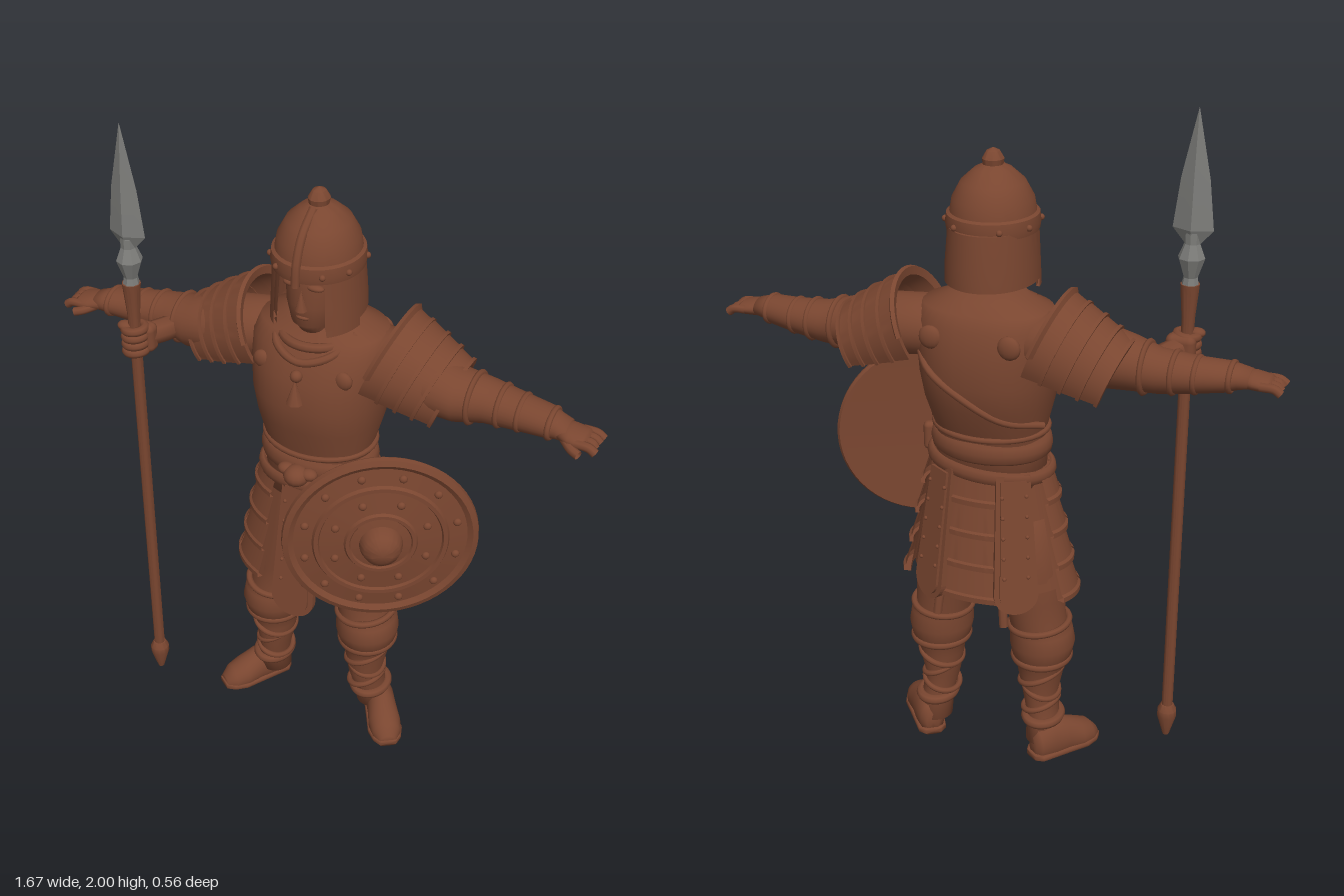
import * as THREE from 'three';
import { toCreasedNormals } from 'three/addons/utils/BufferGeometryUtils.js';
import { RoundedBoxGeometry } from 'three/addons/geometries/RoundedBoxGeometry.js';

const leather = new THREE.MeshStandardMaterial({ color: 0x7a4630, side: THREE.DoubleSide });
leather.name = 'leather brown';
const steel = new THREE.MeshStandardMaterial({ color: 0x7c7c79 });
steel.name = 'steel grey';
const rad = THREE.MathUtils.degToRad;
const V = (x, y, z) => new THREE.Vector3(x, y, z);

// Smooth closed skin through elliptical rings [t, a, b, radiusA, radiusB] along an axis; pow < 1 squares the rings.
function loft(axis, rings, seg = 28, pow = 1) {
  const put = { y: (t, a, b) => [a, t, b], x: (t, a, b) => [t, b, a], z: (t, a, b) => [b, a, t] }[axis];
  const pos = [], idx = [], n = rings.length;
  const sq = v => Math.sign(v) * Math.abs(v) ** pow;
  for (const [t, a, b, ra, rb] of rings) for (let j = 0; j < seg; j++) {
    const q = j / seg * Math.PI * 2;
    pos.push(...put(t, a + ra * sq(Math.cos(q)), b + rb * sq(Math.sin(q))));
  }
  for (let i = 0; i < n - 1; i++) for (let j = 0; j < seg; j++) {
    const p = i * seg + j, r = i * seg + (j + 1) % seg;
    idx.push(p, p + seg, r, r, p + seg, r + seg);
  }
  const [s, e] = [rings[0], rings[n - 1]];
  pos.push(...put(s[0], s[1], s[2]), ...put(e[0], e[1], e[2]));
  for (let j = 0; j < seg; j++) {
    const k = (j + 1) % seg, top = (n - 1) * seg;
    idx.push(n * seg, j, k, n * seg + 1, top + k, top + j);
  }
  const g = new THREE.BufferGeometry();
  g.setAttribute('position', new THREE.Float32BufferAttribute(pos, 3));
  g.setIndex(idx);
  g.computeVertexNormals();
  return g;
}

// Turned profile, optionally only from one angle to another (degrees from the front)
function lathe(points, seg = 32, from = 0, to = 360, crease = 0.6) {
  const g = new THREE.LatheGeometry(points.map(p => new THREE.Vector2(...p)), seg, rad(from), rad(to - from));
  return toCreasedNormals(g, crease);
}

function mirror(geo) {
  const g = geo.clone();
  g.applyMatrix4(new THREE.Matrix4().makeScale(-1, 1, 1));
  const ix = g.index ? Array.from(g.index.array) : Array.from({ length: g.attributes.position.count }, (_, i) => i);
  for (let i = 0; i < ix.length; i += 3) [ix[i], ix[i + 1]] = [ix[i + 1], ix[i]];
  g.setIndex(ix);
  return g;
}

function add(parent, name, geo, mat = leather) {
  const m = new THREE.Mesh(geo, mat);
  m.name = name;
  parent.add(m);
  return m;
}
function pair(parent, name, geo) {
  add(parent, name + 'Left', geo);
  add(parent, name + 'Right', mirror(geo));
}
const ball = (r, x, y, z, sx = 1, sy = 1, sz = 1) => new THREE.SphereGeometry(r, 14, 10).scale(sx, sy, sz).translate(x, y, z);
const tube = (pts, r, seg = 24, closed = false) =>
  new THREE.TubeGeometry(new THREE.CatmullRomCurve3(pts.map(p => V(...p)), closed), seg, r, 8, closed);
// Ring lying flat around a limb or the body
const band = (rx, rz, r, x, y, z, tilt = 0, h = 1) => new THREE.TorusGeometry(1, r / rx, 8, 36)
  .rotateX(Math.PI / 2).scale(rx, rx * h, rz).rotateZ(tilt).translate(x, y, z);

function addHead(root) {
  const head = new THREE.Group(); head.name = 'head'; root.add(head);
  add(head, 'face', loft('y', [[1.44, 0, -0.07, 0.07, 0.07], [1.475, 0, -0.03, 0.045, 0.05], [1.5, 0, -0.025, 0.06, 0.07],
    [1.56, 0, -0.04, 0.08, 0.09], [1.62, 0, -0.045, 0.084, 0.092], [1.7, 0, -0.05, 0.085, 0.09]]));
  add(head, 'nose', new THREE.ConeGeometry(0.018, 0.06, 8).translate(0, 1.585, 0.05));
  add(head, 'mouth', ball(0.02, 0, 1.528, 0.04, 1.1, 0.35, 0.6));
  pair(head, 'brow', ball(0.024, 0.035, 1.625, 0.036, 1.1, 0.4, 0.6));
  add(head, 'helmetDome', lathe([[0.115, 1.655], [0.127, 1.655], [0.13, 1.675], [0.127, 1.7], [0.118, 1.705], [0.112, 1.74], [0.088, 1.785],
    [0.052, 1.818], [0.028, 1.83], [0.03, 1.845], [0.018, 1.866], [0, 1.875]], 40).scale(1, 1, 1.07).translate(0, 0, -0.055));
  add(head, 'neckGuard', lathe([[0.129, 1.515], [0.127, 1.57], [0.119, 1.67], [0.108, 1.67], [0.116, 1.57], [0.119, 1.515], [0.129, 1.515]], 40, 38, 322)
    .scale(1, 1, 1.2).translate(0, 0, -0.06));
  pair(head, 'cheekPlate', lathe([[0.132, 1.495], [0.124, 1.66], [0.114, 1.66], [0.122, 1.495], [0.132, 1.495]], 12, 38, 85)
    .scale(1, 1, 1.1).translate(0, 0, -0.055));
  add(head, 'crest', tube([[0, 1.645, 0.085], [0, 1.71, 0.077], [0, 1.775, 0.045], [0, 1.825, -0.02]], 0.013));
  for (const a of [-65, -32, 32, 65, 110, 150, 210, 250])
    add(head, 'helmetRivet', ball(0.009, 0.13 * Math.sin(rad(a)), 1.678, -0.055 + 0.139 * Math.cos(rad(a))));
}

function addTorso(root) {
  const torso = new THREE.Group(); torso.name = 'torso'; root.add(torso);
  add(torso, 'cuirass', loft('y', [[0.9, 0, -0.07, 0.17, 0.12], [1.03, 0, -0.067, 0.157, 0.118], [1.09, 0, -0.072, 0.165, 0.135],
    [1.17, 0, -0.078, 0.185, 0.163], [1.25, 0, -0.08, 0.197, 0.178], [1.34, 0, -0.085, 0.203, 0.172], [1.41, 0, -0.092, 0.205, 0.15],
    [1.45, 0, -0.095, 0.185, 0.125], [1.475, 0, -0.09, 0.12, 0.09], [1.5, 0, -0.08, 0.08, 0.075]], 40, 0.88));
  add(torso, 'collar', band(0.1, 0.1, 0.014, 0, 1.44, -0.05).rotateX(0));
  add(torso, 'neckline', tube([[-0.12, 1.46, -0.04], [-0.08, 1.42, 0.04], [0, 1.4, 0.072], [0.08, 1.42, 0.04], [0.12, 1.46, -0.04]], 0.012));
  pair(torso, 'chestStud', ball(0.028, 0.125, 1.36, 0.045, 1, 1, 0.6));
  pair(torso, 'backStud', ball(0.034, 0.115, 1.38, -0.232, 1, 1, 0.5));
  add(torso, 'pendant', new THREE.ConeGeometry(0.026, 0.075, 8).translate(0, 1.315, 0.09));
  add(torso, 'pendantLoop', ball(0.018, 0, 1.36, 0.082));
  add(torso, 'backStrap', tube([[-0.18, 1.12, -0.13], [-0.09, 1.15, -0.215], [0.02, 1.22, -0.252], [0.12, 1.28, -0.235], [0.19, 1.33, -0.15]], 0.011));
  // Belt, sash and knot
  add(torso, 'belt', band(0.165, 0.128, 0.016, 0, 1.03, -0.068, 0, 2));
  add(torso, 'beltEdge', band(0.167, 0.14, 0.009, 0, 1.08, -0.07));
  add(torso, 'sash', band(0.18, 0.132, 0.014, 0, 0.965, -0.07, 0.08, 1.6));
  add(torso, 'beltKnot', ball(0.035, 0, 1.02, 0.085, 1.1, 0.9, 1.1));
  pair(torso, 'knotLoop', ball(0.022, 0.036, 1.03, 0.078, 1.2, 0.8, 1));
}

// Flaring skirt radius by height
const skirtR = y => 0.175 + (0.98 - y) * 0.205;

// Skirt panel made of overlapping plate rows
function platePanel(from, to, rows, low) {
  const pts = [];
  for (let i = 0; i < rows; i++) {
    const y0 = low + (0.97 - low) * i / rows, y1 = low + (0.97 - low) * (i + 1) / rows;
    pts.push([skirtR(y0) + 0.017, y0], [skirtR(y0) + 0.017, y0 + 0.016], [skirtR(y0) + 0.009, y0 + 0.022], [skirtR(y1) + 0.004, y1]);
  }
  pts.push([skirtR(0.97) - 0.008, 0.97], [skirtR(low) - 0.006, low], [skirtR(low) + 0.017, low]);
  return lathe(pts, 16, from, to, 0.4).scale(1, 1, 0.66).translate(0, 0, -0.078);
}

// Hanging flap with a rounded end and a raised inner panel, origin at the top middle
function flap(w, len) {
  const g = new THREE.Group();
  const shape = (k, d) => {
    const h = w / 2 - k, s = new THREE.Shape();
    s.moveTo(-h * 0.75, -k); s.lineTo(-h, -len + w / 2);
    s.absellipse(0, -len + w / 2, h, h * 0.9, Math.PI, Math.PI * 2);
    s.lineTo(h * 0.75, -k);
    return new THREE.ExtrudeGeometry(s, { depth: d, bevelEnabled: false, curveSegments: 10 });
  };
  add(g, 'flapBase', shape(0, 0.018));
  add(g, 'flapPanel', shape(0.016, 0.026));
  for (let i = 1; i < 6; i++) for (const s of [-1, 1])
    add(g, 'flapStud', ball(0.006, s * w * 0.27, -len * i / 7, 0.026));
  return g;
}

function addSkirt(root) {
  const skirt = new THREE.Group(); skirt.name = 'skirt'; root.add(skirt);
  add(skirt, 'underSkirt', lathe([[skirtR(0.6) - 0.015, 0.6], [skirtR(0.99) - 0.015, 0.99]], 40).scale(1, 1, 0.64).translate(0, 0, -0.078));
  pair(skirt, 'sidePlates', platePanel(31, 70, 4, 0.57));
  pair(skirt, 'hipPlates', platePanel(73, 112, 4, 0.57));
  add(skirt, 'backPlates', platePanel(158, 202, 4, 0.58));
  const place = (name, w, len, x, z, yaw, lean) => {
    const f = flap(w, len);
    f.name = name; f.position.set(x, 0.97, z); f.rotation.set(lean, yaw, 0, 'YXZ'); skirt.add(f);
  };
  place('frontFlap', 0.14, 0.48, -0.005, 0.043, 0, -0.12);
  for (const s of [-1, 1]) place('backFlap', 0.13, 0.43, s * 0.1, -0.165, s * rad(148), -0.15);
  pair(skirt, 'skirtTail', tube([[0.09, 0.62, -0.225], [0.1, 0.56, -0.235], [0.105, 0.51, -0.24]], 0.014));
}

function addLegs(root) {
  const legs = new THREE.Group(); legs.name = 'legs'; root.add(legs);
  pair(legs, 'leg', loft('y', [[0.05, 0.178, -0.1, 0.05, 0.055], [0.13, 0.175, -0.085, 0.048, 0.06], [0.2, 0.162, -0.075, 0.052, 0.065],
    [0.28, 0.163, -0.078, 0.068, 0.075], [0.325, 0.165, -0.077, 0.074, 0.08], [0.345, 0.165, -0.075, 0.09, 0.095],
    [0.385, 0.165, -0.073, 0.098, 0.104], [0.43, 0.162, -0.075, 0.093, 0.1], [0.46, 0.152, -0.08, 0.084, 0.09],
    [0.55, 0.14, -0.085, 0.092, 0.098], [0.66, 0.122, -0.085, 0.1, 0.105], [0.82, 0.1, -0.08, 0.09, 0.1]]));
  pair(legs, 'kneeTie', band(0.082, 0.088, 0.012, 0.165, 0.335, -0.077));
  pair(legs, 'kneeFold', band(0.088, 0.095, 0.01, 0.157, 0.45, -0.078, 0.1));
  [[0.165, 0.055, 0.35], [0.22, 0.056, -0.4], [0.27, 0.067, 0.38]].forEach(([y, r, t]) =>
    pair(legs, 'shinStrap', band(r, r + 0.009, 0.009, 0.165, y, -0.078, t)));
  pair(legs, 'bootCuff', band(0.051, 0.062, 0.015, 0.176, 0.125, -0.088));
  // Boots turned outward, flattened underneath
  const boot = loft('z', [[-0.112, 0.04, 0, 0.03, 0.02], [-0.1, 0.045, 0, 0.055, 0.038], [-0.05, 0.05, 0, 0.075, 0.046],
    [0, 0.045, 0, 0.065, 0.047], [0.05, 0.03, 0, 0.055, 0.052], [0.09, 0.022, 0, 0.045, 0.045], [0.118, 0.015, 0, 0.022, 0.026]]);
  const p = boot.attributes.position;
  for (let i = 0; i < p.count; i++) p.setY(i, Math.max(p.getY(i), 0.004));
  boot.computeVertexNormals();
  const sole = loft('z', [[-0.118, 0.01, 0, 0.01, 0.025], [-0.1, 0.01, 0, 0.01, 0.044], [0, 0.01, 0, 0.01, 0.051],
    [0.06, 0.01, 0, 0.01, 0.056], [0.1, 0.01, 0, 0.01, 0.045], [0.122, 0.01, 0, 0.01, 0.026]], 20, 0.4);
  for (const [name, g] of [['boot', boot], ['bootSole', sole]]) pair(legs, name, g.rotateY(rad(35)).translate(0.232, 0, -0.06));
}

function addArms(root) {
  const arms = new THREE.Group(); arms.name = 'arms'; root.add(arms);
  pair(arms, 'arm', loft('x', [[0.15, -0.11, 1.37, 0.1, 0.085], [0.32, -0.095, 1.345, 0.1, 0.09], [0.42, -0.085, 1.33, 0.085, 0.075],
    [0.5, -0.1, 1.325, 0.068, 0.062], [0.6, -0.09, 1.325, 0.06, 0.05], [0.68, -0.078, 1.328, 0.054, 0.042],
    [0.71, -0.07, 1.328, 0.044, 0.034], [0.74, -0.065, 1.326, 0.042, 0.026]]));
  const cuff = (x, y, z, ry, rz) => new THREE.TorusGeometry(1, 0.17, 8, 28).rotateY(Math.PI / 2).scale(0.05, ry, rz).translate(x, y, z);
  [[0.46, 1.327, -0.094, 0.067, 0.073], [0.54, 1.325, -0.096, 0.055, 0.061], [0.6, 1.325, -0.09, 0.047, 0.056], [0.69, 1.328, -0.075, 0.039, 0.05]]
    .forEach(c => pair(arms, 'armBand', cuff(...c)));
  pair(arms, 'palm', loft('x', [[0.71, -0.065, 1.326, 0.036, 0.024], [0.75, -0.06, 1.322, 0.048, 0.024], [0.79, -0.06, 1.318, 0.048, 0.02], [0.8, -0.06, 1.317, 0.04, 0.014]]));
  [-0.098, -0.073, -0.048, -0.023].forEach((z, i) =>
    pair(arms, 'finger', tube([[0.77, 1.32, z], [0.81, 1.318, z], [0.828 - (i % 3) * 0.004, 1.306, z]], 0.013, 8)));
  pair(arms, 'thumb', tube([[0.735, 1.318, -0.035], [0.765, 1.308, -0.01], [0.79, 1.302, 0]], 0.013, 8));
  // Overlapping shoulder plates, sloping down along the arm
  const plate = (d, r, w) => lathe([[r - 0.014, d], [r, d], [r - 0.01, d + w], [r - 0.004, d + w], [r - 0.004, d + w + 0.01], [r - 0.024, d + w + 0.01], [r - 0.014, d]], 30, 160, 380, 0.5)
    .rotateZ(rad(-112)).translate(0.183, 1.37, -0.12);
  [[0, 0.158, 0.05], [0.055, 0.15, 0.05], [0.105, 0.14, 0.05], [0.155, 0.128, 0.05]]
    .forEach(a => pair(arms, 'shoulderPlate', plate(...a)));
  pair(arms, 'shoulderFlange', lathe([[0.14, 0], [0.162, -0.008], [0.168, 0.002], [0.15, 0.016]], 30, 185, 355)
    .rotateZ(rad(-112)).translate(0.183, 1.37, -0.12));
}

function addSpear(root) {
  const spear = new THREE.Group(); spear.name = 'spear'; spear.position.set(-0.523, 0, 0.078); root.add(spear);
  add(spear, 'spearShaft', lathe([[0.017, 0.12], [0.017, 1.34], [0.019, 1.42], [0.025, 1.49], [0.027, 1.515], [0, 1.515]], 16));
  add(spear, 'spearButt', lathe([[0, 0.025], [0.01, 0.03], [0.03, 0.1], [0.03, 0.12], [0.02, 0.14], [0, 0.145]], 12));
  add(spear, 'spearSocket', lathe([[0, 1.51], [0.024, 1.515], [0.02, 1.535], [0.038, 1.59], [0.022, 1.63], [0.022, 1.66], [0, 1.67]], 8, 0, 360, 0.3), steel);
  add(spear, 'spearBlade', lathe([[0.014, 1.62], [0.057, 1.67], [0.04, 1.81], [0, 2]], 4, 0, 360, 0.2).scale(1, 1, 0.45), steel);
  // Gripping hand, joined to the arm behind it
  add(spear, 'gripWrist', tube([[0.06, 1.315, -0.16], [0.045, 1.325, -0.09], [0.02, 1.33, -0.035]], 0.036, 12));
  add(spear, 'gripPalm', new RoundedBoxGeometry(0.085, 0.09, 0.05, 3, 0.02).translate(0.01, 1.33, -0.025));
  for (let i = 0; i < 4; i++) add(spear, 'gripFinger', band(0.029, 0.029, 0.0135, 0, 1.294 + i * 0.024, 0, 0.08));
  add(spear, 'gripThumb', ball(0.02, -0.025, 1.372, 0.01, 1.2, 0.7, 1));
}

function addShield(root) {
  const shield = new THREE.Group(); shield.name = 'shield'; root.add(shield);
  shield.position.set(0.29, 0.925, 0.13); shield.rotation.y = rad(29.5);
  add(shield, 'shieldDisc', lathe([[0, -0.004], [0.26, -0.022], [0.274, -0.022], [0.28, -0.012], [0.278, 0.002], [0.262, 0.008], [0.247, -0.002],
    [0.195, 0.006], [0.19, 0.016], [0.178, 0.016], [0.174, 0.008], [0.105, 0.016], [0.1, 0.024], [0.09, 0.024], [0.086, 0.018],
    [0.062, 0.022], [0.06, 0.034], [0.05, 0.058], [0.03, 0.073], [0, 0.079]], 56).rotateX(Math.PI / 2));
  for (const [n, r, z] of [[12, 0.222, 0.004], [8, 0.14, 0.014]]) for (let i = 0; i < n; i++) {
    const a = (i + 0.5) / n * Math.PI * 2;
    add(shield, 'shieldRivet', ball(0.012, r * Math.cos(a), r * Math.sin(a), z, 1, 1, 0.8));
  }
  // Handle and the fist on it
  add(shield, 'shieldHandle', tube([[-0.02, -0.1, -0.01], [-0.02, -0.07, -0.05], [-0.02, 0.07, -0.05], [-0.02, 0.1, -0.01]], 0.013));
  add(shield, 'shieldFist', new RoundedBoxGeometry(0.065, 0.09, 0.035, 3, 0.015).translate(-0.012, 0, -0.062));
  for (let i = 0; i < 4; i++) add(shield, 'shieldFinger', ball(0.015, -0.04, -0.034 + i * 0.023, -0.05, 1.4, 0.85, 1.3));
}

export function createModel() {
  const root = new THREE.Group();
  root.name = 'warrior';
  [addHead, addTorso, addSkirt, addLegs, addArms, addSpear, addShield].forEach(f => f(root));
  return root;
}
